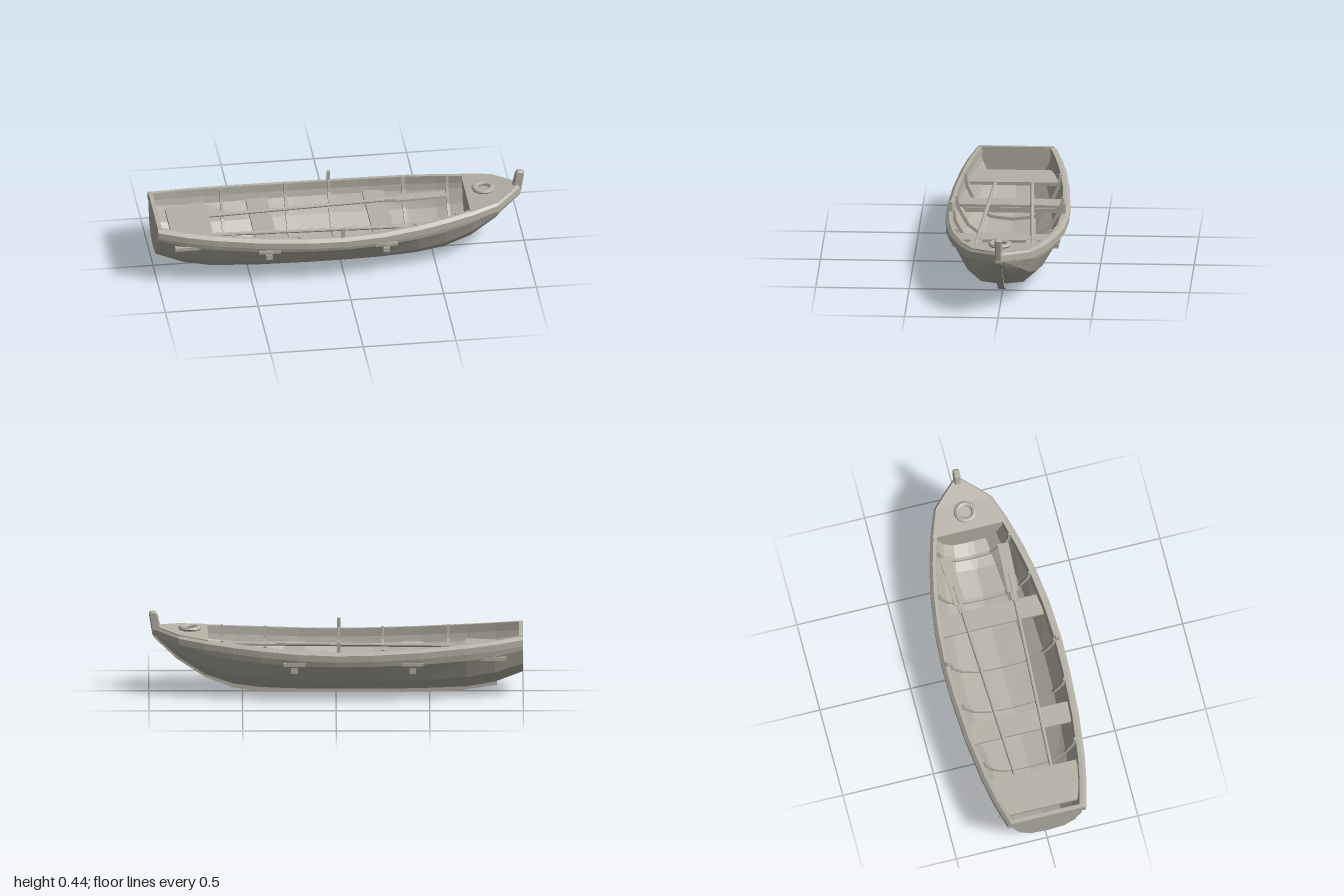
import * as THREE from 'three';

// Hull stations: x, half beam at the rail, sheer height, bottom height
const STATIONS = [
  [-1, 0.215, 0.34, 0.115], [-0.85, 0.255, 0.322, 0.06], [-0.7, 0.283, 0.308, 0.036],
  [-0.45, 0.313, 0.29, 0.03], [-0.2, 0.328, 0.279, 0.03], [0, 0.33, 0.276, 0.03],
  [0.2, 0.318, 0.281, 0.03], [0.4, 0.29, 0.294, 0.034], [0.55, 0.257, 0.306, 0.05],
  [0.7, 0.215, 0.32, 0.1], [0.84, 0.162, 0.336, 0.19], [0.91, 0.09, 0.347, 0.25],
  [0.98, 0.014, 0.358, 0.315],
];
// Half section as fractions of beam and depth
const SECTION = [[0, 0], [0.47, 0.06], [0.77, 0.33], [0.95, 0.72], [1, 1]];

function stationAt(x) {
  let i = 0;
  while (i < STATIONS.length - 2 && STATIONS[i + 1][0] < x) i++;
  const a = STATIONS[i], b = STATIONS[i + 1];
  const t = (x - a[0]) / (b[0] - a[0]);
  return a.map((v, k) => v + (b[k] - v) * t);
}

// Full U-shaped section, from the -z gunwale under the keel to the +z gunwale
function hullRing(x, inset = 0, topDrop = 0.02) {
  const [, beam, sheer, bottom] = stationAt(x);
  const w = Math.max(beam - 0.017 - inset, 0.004), y0 = bottom + inset;
  const half = SECTION.map(([u, v]) => [x, y0 + (sheer - topDrop - y0) * v, w * u]);
  return [...half.slice(1).reverse().map(([a, b, c]) => [a, b, -c]), ...half];
}

// Skin over a row of cross-sections
function loft(rings, closed = false, caps = false) {
  const n = rings[0].length, index = [];
  const last = closed ? n : n - 1;
  for (let s = 0; s < rings.length - 1; s++) {
    for (let i = 0; i < last; i++) {
      const j = (i + 1) % n, a = s * n, b = a + n;
      index.push(a + i, b + i, b + j, a + i, b + j, a + j);
    }
  }
  if (caps) {
    const e = (rings.length - 1) * n;
    for (let i = 1; i < n - 1; i++) index.push(0, i, i + 1, e, e + i + 1, e + i);
  }
  const g = new THREE.BufferGeometry();
  g.setAttribute('position', new THREE.Float32BufferAttribute(rings.flat(2), 3));
  g.setIndex(index);
  const flat = g.toNonIndexed();
  flat.computeVertexNormals();
  return flat;
}

export function createModel() {
  const boat = new THREE.Group();
  boat.name = 'rowingBoat';
  const wood = new THREE.MeshStandardMaterial({ color: 0xb5b1a5, flatShading: true, side: THREE.DoubleSide });
  wood.name = 'weatheredWood';

  const add = (name, geometry, x = 0, y = 0, z = 0, parent = boat) => {
    const mesh = new THREE.Mesh(geometry, wood);
    mesh.name = name;
    mesh.position.set(x, y, z);
    parent.add(mesh);
    return mesh;
  };
  const box = (name, w, h, d, x, y, z, parent) => add(name, new THREE.BoxGeometry(w, h, d), x, y, z, parent);

  // Planking, outside and inside
  const xs = STATIONS.map((s) => s[0]);
  add('outerHull', loft(xs.map((x) => hullRing(x))));
  add('innerHull', loft(xs.slice(0, -2).map((x) => hullRing(x, 0.014))));

  // Transom at the stern and bulkhead under the bow deck
  add('transom', loft([hullRing(-1, 0, 0.008), hullRing(-0.982, 0, 0.008)], true, true));
  add('bowBulkhead', loft([hullRing(0.69, 0.012, 0.005), hullRing(0.7, 0.012, 0.005)], true, true));
  box('transomCap', 0.022, 0.022, 0.4, -0.989, 0.329, 0);

  // Gunwale rails with a bevelled outer edge
  for (const side of [1, -1]) {
    const rings = STATIONS.map(([x, beam, y]) => {
      const inner = Math.max(beam - 0.038, 0), bevel = Math.max(beam - 0.018, 0);
      const ring = [[x, y - 0.045, inner], [x, y - 0.05, beam], [x, y - 0.016, beam], [x, y, bevel], [x, y, inner]];
      return side > 0 ? ring : ring.map(([a, b, c]) => [a, b, -c]).reverse();
    });
    add(side > 0 ? 'rightRail' : 'leftRail', loft(rings, true, true));
  }

  // Bow deck between the rails
  add('bowDeck', loft([0.685, 0.84, 0.91, 0.97].map((x) => {
    const [, beam, y] = stationAt(x);
    const w = Math.max(beam - 0.015, 0.005);
    return [[x, y - 0.012, -w], [x, y - 0.012, w], [x, y + 0.002, w], [x, y + 0.002, -w]];
  }), true, true));

  // Keel sweeping up into the stem
  const keel = [[-0.86, 0.036, 0.075], [-0.68, 0.008, 0.045], [-0.5, 0, 0.04], [0.4, 0, 0.045],
    [0.55, 0.022, 0.065], [0.7, 0.08, 0.12], [0.85, 0.178, 0.215], [0.975, 0.298, 0.33]];
  add('keel', loft(keel.map(([x, lo, hi]) =>
    [[x, lo, -0.018], [x, lo, 0.018], [x, hi, 0.018], [x, hi, -0.018]]), true, true));

  // Leaning stem post with a chamfered head
  const postShape = new THREE.Shape([[0.935, 0.335], [0.982, 0.315], [1, 0.425], [0.99, 0.436], [0.965, 0.436], [0.953, 0.422]]
    .map(([x, y]) => new THREE.Vector2(x, y)));
  const post = new THREE.ExtrudeGeometry(postShape, {
    depth: 0.024, bevelEnabled: true, bevelThickness: 0.006, bevelSize: 0.006, bevelOffset: -0.006, bevelSegments: 1,
  });
  add('stemPost', post, 0, 0, -0.012);

  // Ribs following the inside of the hull
  for (const x of [-0.6, -0.25, -0.015, 0.38, 0.61]) {
    const outline = [...hullRing(x, 0.012, -0.006), ...hullRing(x, 0.03, -0.006).reverse()];
    const rib = new THREE.ExtrudeGeometry(new THREE.Shape(outline.map(([, y, z]) => new THREE.Vector2(z, y))),
      { depth: 0.015, bevelEnabled: false });
    add('rib', rib.rotateY(Math.PI / 2), x - 0.0075, 0, 0);
  }

  // Seats, and the beams that run through the hull below them
  box('sternSeat', 0.22, 0.018, 0.474, -0.8, 0.224, 0);
  for (const [x, seatX] of [[-0.41, -0.408], [0.222, 0.222]]) {
    box('thwart', 0.116, 0.016, 0.59, seatX, 0.204, 0);
    box('thwartBeam', 0.035, 0.026, 0.572, x, 0.168, 0);
  }

  // Thole pins, oars
  for (const side of [1, -1]) {
    box('tholePin', 0.018, 0.075, 0.017, -0.015, 0.294, side * 0.303);

    const oar = new THREE.Group();
    oar.name = 'oar';
    add('oarShaft', new THREE.CylinderGeometry(0.01, 0.01, 1.12, 8).rotateZ(Math.PI / 2), -0.09, 0, 0, oar);
    box('oarBlade', 0.28, 0.012, 0.06, 0.505, 0, 0, oar);
    box('oarNeck', 0.05, 0.016, 0.034, 0.34, 0, 0, oar);
    oar.position.set(-0.045, 0.224, side * 0.13);
    oar.rotation.y = -side * 0.047;
    boat.add(oar);
  }

  // Coiled ring on the bow deck
  add('deckRing', new THREE.TorusGeometry(0.047, 0.016, 8, 20).rotateX(Math.PI / 2).scale(1, 0.75, 1), 0.78, 0.345, 0);

  return boat;
}
